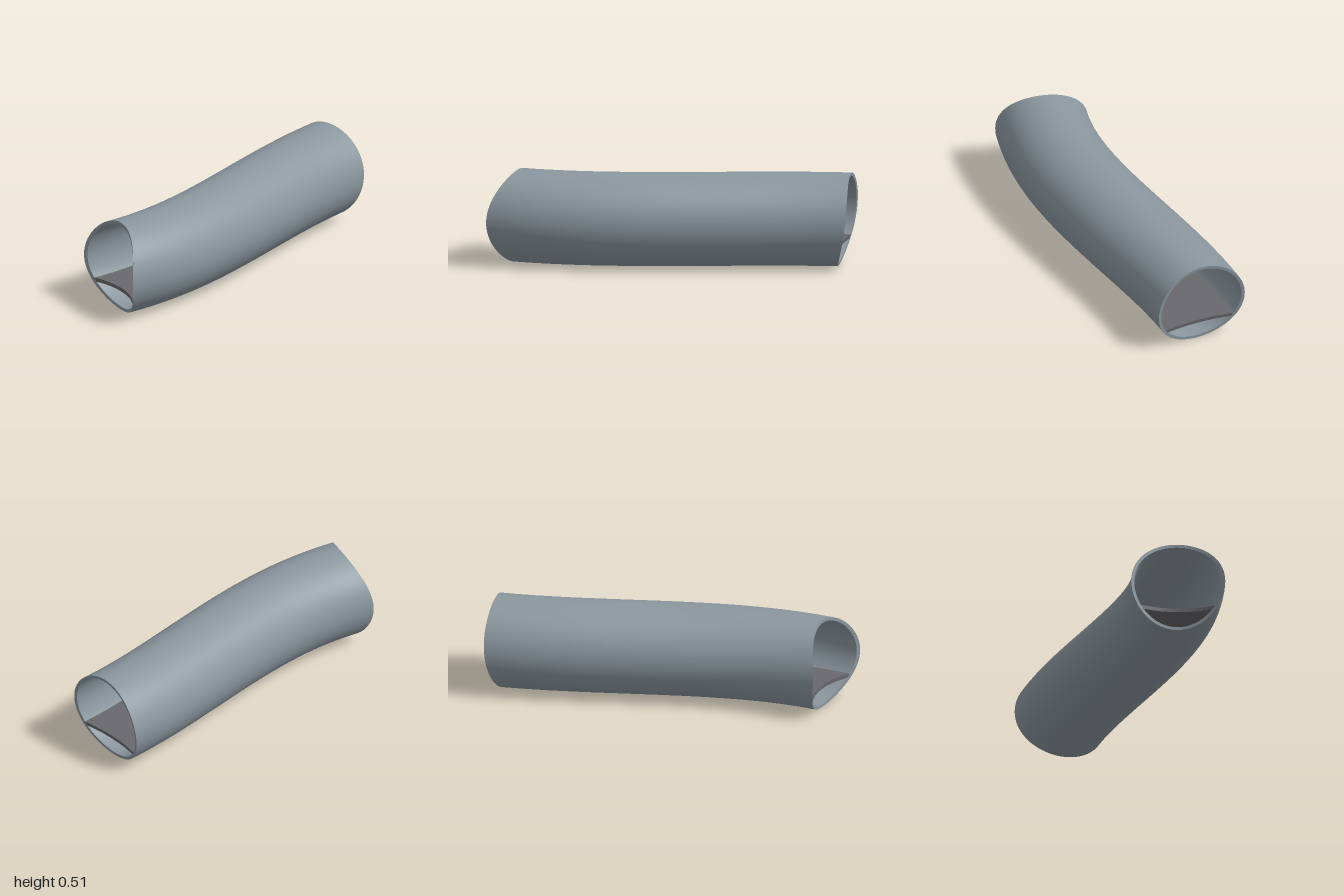
import * as THREE from 'three';
import { mergeGeometries } from 'three/addons/utils/BufferGeometryUtils.js';

const OUTER = 0.2575, INNER = 0.24;

// Gently S-curved centre line, z as a function of x
function centreZ(x) {
  const u = (x + 0.33) / 1.18;
  return 0.035 - (u < 0 ? 0.086 : 0.077) * (3 * u * u - 2 * u * u * u);
}

// Point at centre-line station s, a to the side and t above the axis
function station(s, a, t) {
  const slope = (centreZ(s + 0.001) - centreZ(s - 0.001)) / 0.002;
  const n = Math.hypot(slope, 1);
  return new THREE.Vector3(s - (a * slope) / n, OUTER + t, centreZ(s) + a / n);
}

// Curved saddle cuts at the two ends
const leftCut = (p) => -1.258 + Math.sqrt(Math.max(0, 0.196 - (p.z + 0.17) ** 2));
const rightCut = (p) => {
  const z = p.z + 0.04;
  return 0.949 + 0.124 * (p.y - OUTER) - 0.064 * z + 0.48 * z * z;
};

// Station at which a lengthwise line meets a cut
function meet(cut, start, a, t) {
  let s = start;
  for (let k = 0; k < 25; k++) {
    const p = station(s, a, t);
    s += cut(p) - p.x;
  }
  return s;
}

// v runs from the left cut (0) to the right cut (1)
function along(a, t, v) {
  const s0 = meet(leftCut, -0.9, a, t), s1 = meet(rightCut, 0.95, a, t);
  return station(s0 + (s1 - s0) * v, a, t);
}

// Sheet of points f(u, v); wrap closes it in u
function sheet(nu, nv, f, wrap = false) {
  const pos = [], idx = [], cols = wrap ? nu : nu + 1;
  for (let i = 0; i < cols; i++)
    for (let j = 0; j <= nv; j++) pos.push(...f(i / nu, j / nv).toArray());
  for (let i = 0; i < nu; i++)
    for (let j = 0; j < nv; j++) {
      const a = i * (nv + 1) + j, b = ((i + 1) % cols) * (nv + 1) + j;
      idx.push(a, a + 1, b + 1, a, b + 1, b);
    }
  const g = new THREE.BufferGeometry();
  g.setAttribute('position', new THREE.Float32BufferAttribute(pos, 3));
  g.setIndex(idx);
  g.computeVertexNormals();
  return g;
}

const onCircle = (r, u, v) =>
  along(r * Math.cos(u * Math.PI * 2), r * Math.sin(u * Math.PI * 2), v);
const mix = THREE.MathUtils.lerp;

export function createModel() {
  const group = new THREE.Group();
  group.name = 'curvedPipe';

  const pipeGrey = new THREE.MeshStandardMaterial({ color: 0x8b979f });
  pipeGrey.name = 'blueGrey';
  const floorGrey = new THREE.MeshStandardMaterial({ color: 0x68686d });
  floorGrey.name = 'darkGrey';

  const add = (name, parts, material) => {
    const mesh = new THREE.Mesh(mergeGeometries(parts), material);
    mesh.name = name;
    group.add(mesh);
  };

  // Pipe wall: outside, inside and the two cut rims
  add('pipeWall', [
    sheet(96, 40, (u, v) => onCircle(OUTER, u, v), true),
    sheet(96, 40, (u, v) => onCircle(INNER, -u, v), true),
    sheet(96, 1, (u, v) => onCircle(mix(INNER, OUTER, v), u, 0), true),
    sheet(96, 1, (u, v) => onCircle(mix(OUTER, INNER, v), u, 1), true),
  ], pipeGrey);

  // Flat floor: its edges follow the inside of the wall
  const top = -0.1285, bottom = -0.1495;
  const half = (t) => Math.sqrt((INNER + 0.001) ** 2 - t * t);
  const across = (u, t) => mix(-half(t), half(t), u);
  const end = (u, v, side) => {
    const t = mix(bottom, top, v);
    return along(across(u, t), t, side);
  };
  add('floor', [
    sheet(16, 40, (u, v) => along(across(1 - u, top), top, v)),
    sheet(16, 40, (u, v) => along(across(u, bottom), bottom, v)),
    sheet(16, 1, (u, v) => end(u, v, 1)),
    sheet(16, 1, (u, v) => end(1 - u, v, 0)),
  ], floorGrey);

  return group;
}
